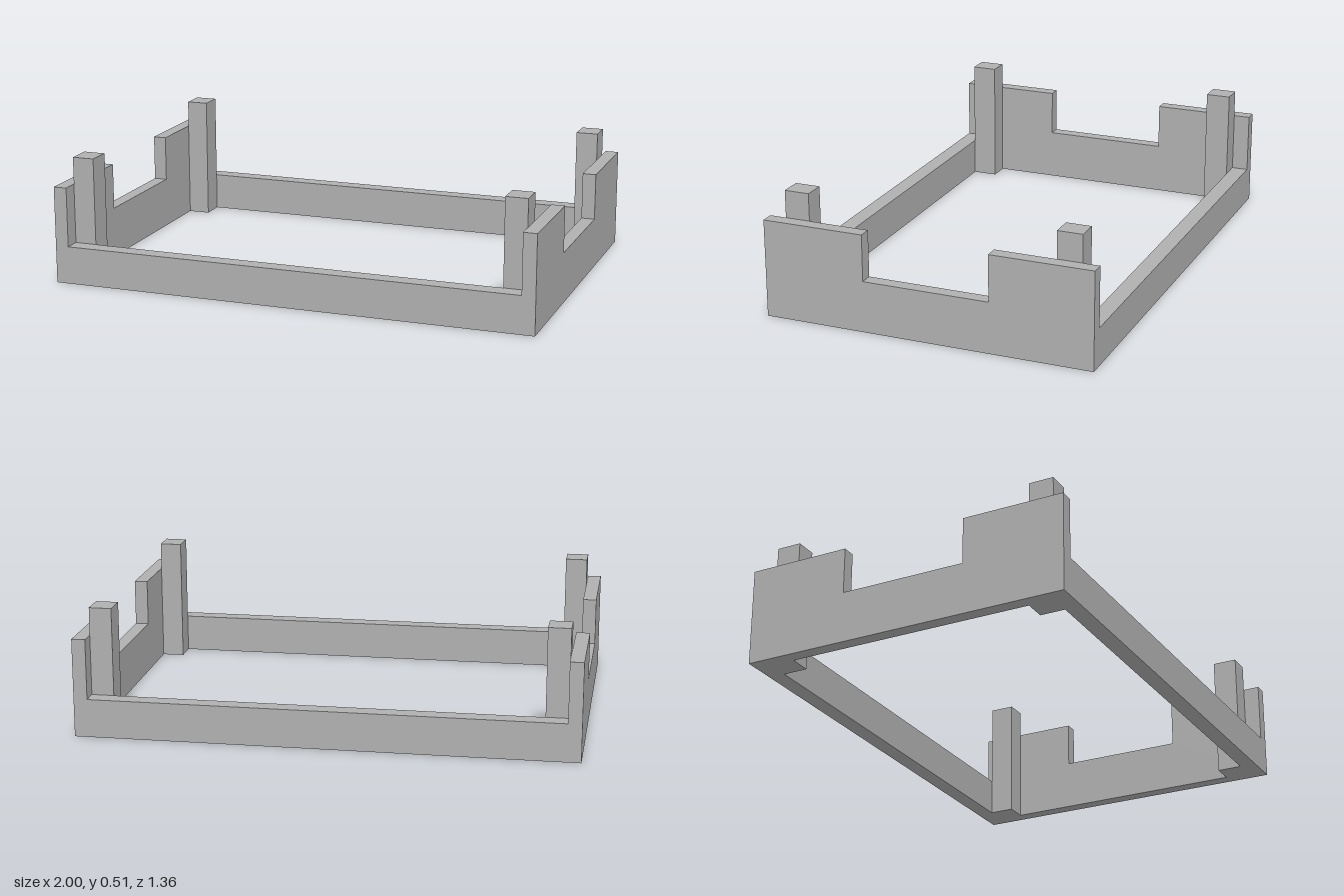
import * as THREE from 'three';

export function createModel() {
  const model = new THREE.Group();
  model.name = 'openFrame';
  const grey = new THREE.MeshStandardMaterial({ color: 0xb0b0b0 });
  grey.name = 'plainGrey';

  const halfX = 1, halfZ = 0.68;
  const sideThick = 0.055, railThick = 0.068;
  const railHeight = 0.155, sideHeight = 0.4;
  const notchHalf = 0.26, notchY = 0.21;
  const postX = 0.09, postZ = 0.102, postHeight = 0.512;
  const innerX = halfX - sideThick, innerZ = halfZ - railThick;

  const add = (name, geometry, x, y, z) => {
    const mesh = new THREE.Mesh(geometry, grey);
    mesh.name = name;
    mesh.position.set(x, y, z);
    model.add(mesh);
  };

  // Side panel outline (z across, y up) with a notch in the middle of the top edge
  const outline = new THREE.Shape([
    [-halfZ, 0], [halfZ, 0], [halfZ, sideHeight], [notchHalf, sideHeight],
    [notchHalf, notchY], [-notchHalf, notchY], [-notchHalf, sideHeight], [-halfZ, sideHeight],
  ].map(([z, y]) => new THREE.Vector2(z, y)));
  const sideGeo = new THREE.ExtrudeGeometry(outline, { depth: sideThick, bevelEnabled: false });
  sideGeo.translate(0, 0, -sideThick / 2).rotateY(-Math.PI / 2);

  // Low rails between the side panels, and corner posts
  const railGeo = new THREE.BoxGeometry(innerX * 2, railHeight, railThick);
  const postGeo = new THREE.BoxGeometry(postX, postHeight, postZ);

  for (const [sx, side] of [[1, 'left'], [-1, 'right']]) {
    add(side + 'SidePanel', sideGeo, sx * (halfX - sideThick / 2), 0, 0);
    for (const [sz, end] of [[1, 'Front'], [-1, 'Back']]) {
      add(side + end + 'Post', postGeo,
        sx * (innerX - postX / 2), postHeight / 2, sz * (innerZ - postZ / 2));
    }
  }
  for (const [sz, end] of [[1, 'front'], [-1, 'back']]) {
    add(end + 'Rail', railGeo, 0, railHeight / 2, sz * (halfZ - railThick / 2));
  }
  return model;
}
